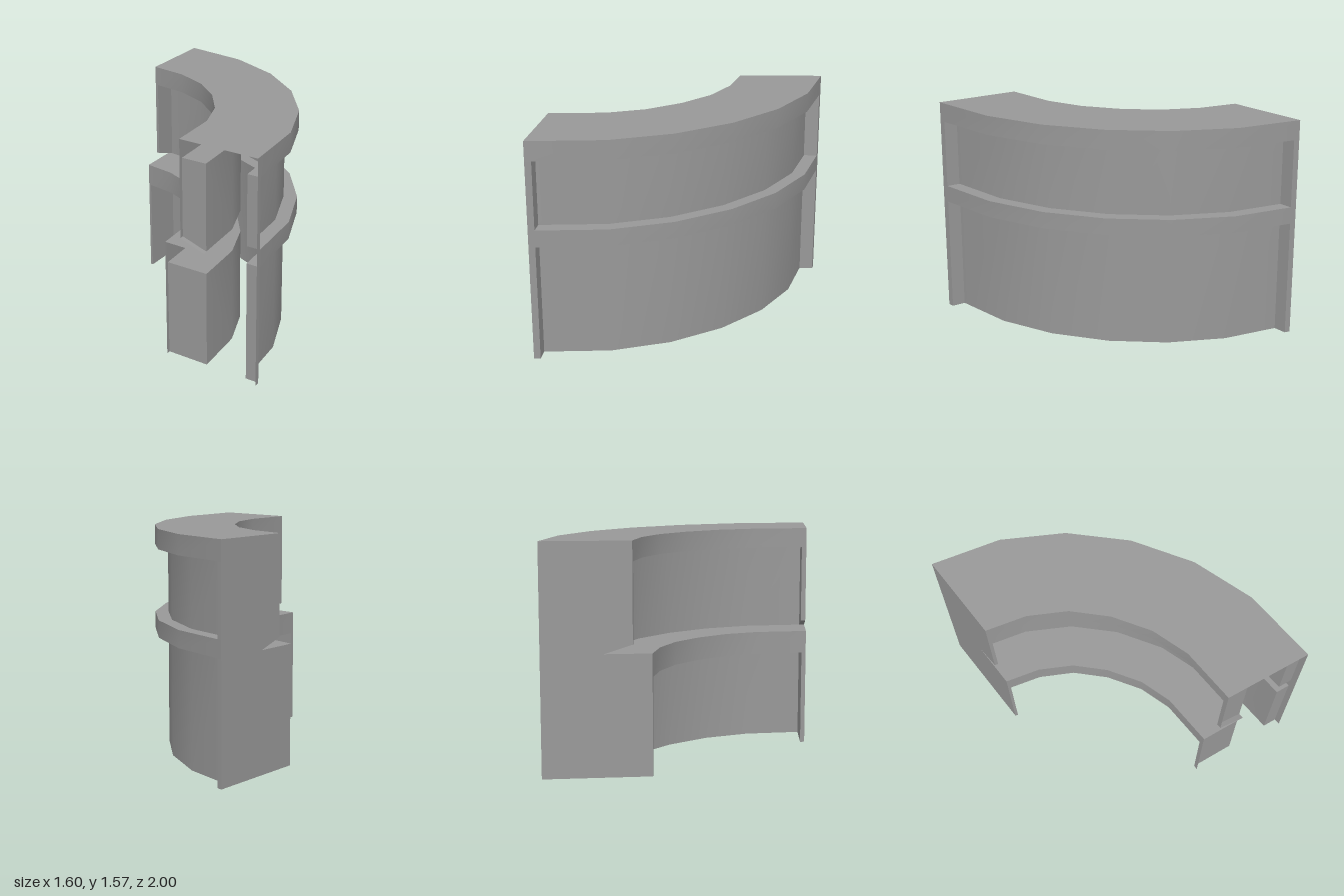
import * as THREE from 'three';
import { mergeGeometries } from 'three/addons/utils/BufferGeometryUtils.js';

// Plan of the curved counter as [x, z]: convex edge and concave edge, back end to front end
const OUTER = [[-0.8, -1], [-0.335, -0.875], [0.05, -0.65], [0.37, -0.34], [0.613, 0.04], [0.76, 0.47], [0.8, 1]];
const INNER = [[-0.783, -0.265], [-0.55, -0.2], [-0.335, -0.08], [-0.16, 0.095], [-0.02, 0.31], [0.055, 0.54], [0.075, 0.905]];
const LAST = OUTER.length - 1;

// Depths as a fraction from convex edge (0) to concave edge (1)
const WALL_OUT = 0.135, WALL_IN = 0.567, TOP_IN = 0.825;
const RIM = 0.085; // width of the rims beside the recesses, as part of one arc segment
const START = RIM, END = LAST - RIM;

// Ledge edges running the full length, as [depth, y] paths
const LEDGES = {
  outerBand: [[0, 0.83], [0, 0.95]],
  topLedge: [[0, 1.433], [0, 1.57], [TOP_IN, 1.57], [TOP_IN, 1.433]],
  desktop: [[WALL_IN, 0.83], [1, 0.83], [1, 0.67]],
};

// Recess sections, with the edges from..to that are lined along the arc
const RECESSES = {
  outerLower: { path: [[0, 0], [WALL_OUT, 0], [WALL_OUT, 0.83], [0, 0.83]], from: 1, to: 3 },
  outerUpper: { path: [[0, 0.95], [WALL_OUT, 0.95], [WALL_OUT, 1.433], [0, 1.433]], from: 0, to: 3 },
  innerUpper: { path: [[TOP_IN, 1.433], [WALL_IN, 1.433], [WALL_IN, 0.83], [TOP_IN, 0.89]], from: 0, to: 2 },
  innerLower: { path: [[1, 0.67], [WALL_IN, 0.67], [WALL_IN, 0], [1, 0]], from: 0, to: 2 },
};

const END_OUTLINE = [[0, 0], [1, 0], [1, 0.83], [WALL_IN, 0.83], [TOP_IN, 0.89], [TOP_IN, 1.57], [0, 1.57]];

const lerp = THREE.MathUtils.lerp;
const material = new THREE.MeshStandardMaterial({ color: 0x999999, side: THREE.DoubleSide });

// Point at position u along the arc, depth f and height y
function point(u, [f, y]) {
  const i = Math.min(Math.floor(u), LAST - 1), t = u - i;
  const along = (line, k) => lerp(line[i][k], line[i + 1][k], t);
  return [lerp(along(OUTER, 0), along(INNER, 0), f), y, lerp(along(OUTER, 1), along(INNER, 1), f)];
}

function surface(points, index) {
  const g = new THREE.BufferGeometry();
  g.setAttribute('position', new THREE.Float32BufferAttribute(points.flat(), 3));
  g.setIndex(index);
  g.computeVertexNormals();
  return g;
}

// Strip swept along the arc between two section points, smooth along its length
function strip(a, b, lo, hi) {
  const stops = [lo];
  for (let u = Math.floor(lo) + 1; u < hi; u++) stops.push(u);
  stops.push(hi);
  const index = [];
  for (let k = 0; k < 2 * stops.length - 2; k += 2) index.push(k, k + 1, k + 2, k + 1, k + 3, k + 2);
  return surface(stops.flatMap(u => [point(u, a), point(u, b)]), index);
}

// Sharp-edged sweep of a whole path
const sweep = (path, lo, hi) => mergeGeometries(path.slice(1).map((p, i) => strip(path[i], p, lo, hi)));

// Flat section at u from a counter-clockwise outline
function cap(u, outline, flip = false) {
  const faces = THREE.ShapeUtils.triangulateShape(outline.map(p => new THREE.Vector2(...p)), []);
  return surface(outline.map(p => point(u, p)), faces.flatMap(([a, b, c]) => (flip ? [a, c, b] : [a, b, c])));
}

export function createModel() {
  const model = new THREE.Group();
  model.name = 'curvedCounter';
  const add = (name, geometry) => {
    const mesh = new THREE.Mesh(geometry, material);
    mesh.name = name;
    model.add(mesh);
  };

  for (const [name, path] of Object.entries(LEDGES)) add(name, sweep(path, 0, LAST));

  // Each recess: its lining, a sheet closing both ends and a narrow rim beside it
  for (const [name, { path, from, to }] of Object.entries(RECESSES)) {
    add(name + 'Wall', sweep(path.slice(from, to + 1), START, END));
    add(name + 'BackSheet', cap(START, path, true));
    add(name + 'FrontSheet', cap(END, path));
    add(name + 'BackRim', strip(path[0], path[3], 0, START));
    add(name + 'FrontRim', strip(path[0], path[3], END, LAST));
  }

  // Sloping undersides of the upper inner rims
  const [, , foot, tip] = RECESSES.innerUpper.path;
  add('backBracketUnderside', strip(tip, foot, 0, START));
  add('frontBracketUnderside', strip(tip, foot, END, LAST));

  // Closed back end; the front end and the floor stay open
  add('backEndPanel', cap(0, END_OUTLINE));
  return model;
}
